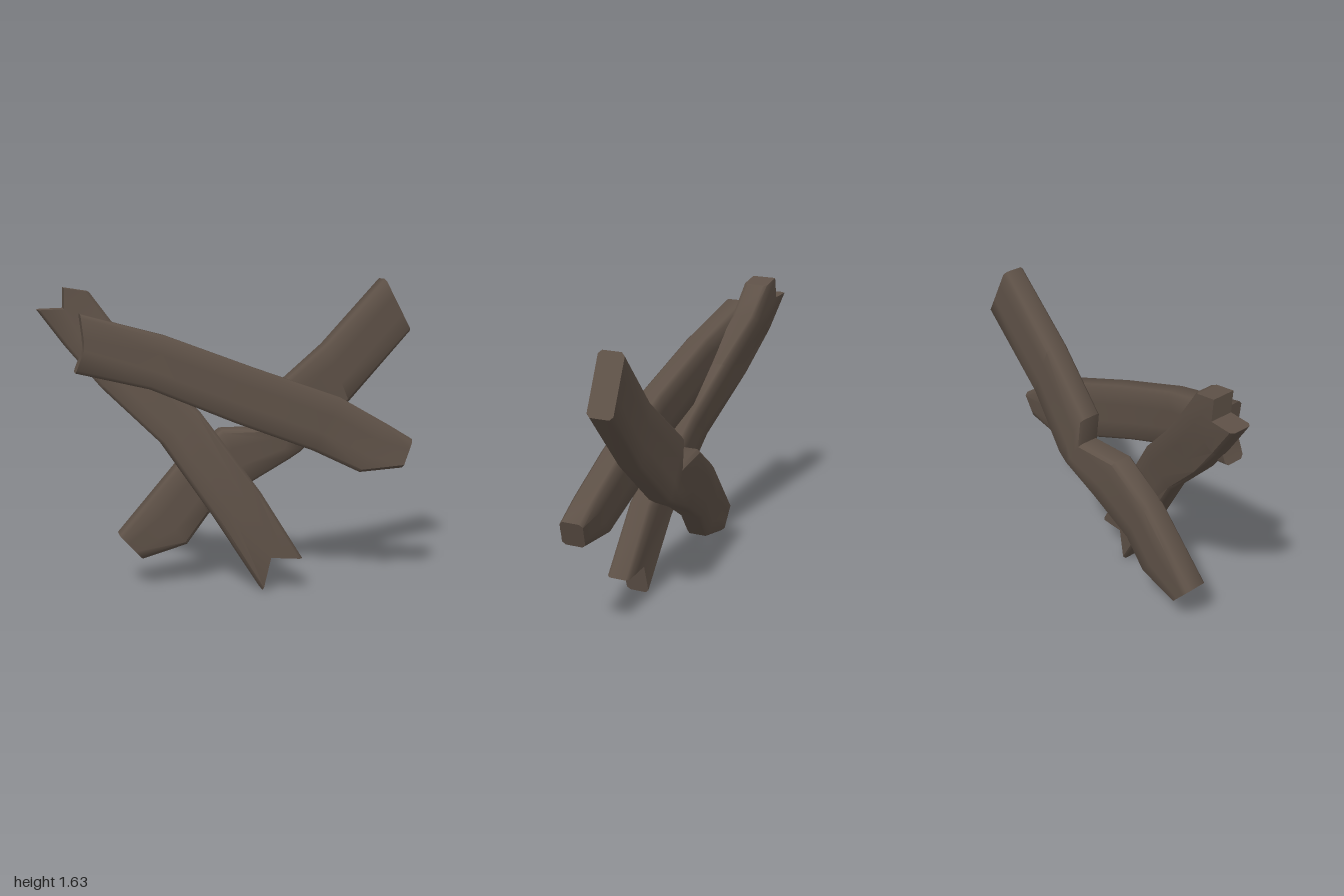
import * as THREE from 'three';
import { toCreasedNormals } from 'three/addons/utils/BufferGeometryUtils.js';

const BEVEL = 0.018;

// Each station: { p: points across the board (2 or 4), z: centre depth at both edges }.
// The first point lies on the left of the direction of travel.
function plankGeometry(stations, thickness) {
  const h = thickness / 2, N = 12;
  const positions = [], index = [];

  for (const { p, z } of stations) {
    const ends = p.map(([x, y]) => new THREE.Vector2(x, y));
    const q = ends.length === 4 ? ends : [0, 1 / 3, 2 / 3, 1].map(t => ends[0].clone().lerp(ends[1], t));
    const inset = (a, b) => a.clone().add(b.clone().sub(a).setLength(BEVEL));
    const row = [q[0], inset(q[0], q[1]), q[1], q[2], inset(q[3], q[2]), q[3]];
    const across = [0, 0, 1 / 3, 2 / 3, 1, 1];
    const put = (i, side) => {
      const depth = i === 0 || i === 5 ? h - BEVEL : h;
      positions.push(row[i].x, row[i].y, THREE.MathUtils.lerp(z[0], z[1], across[i]) + side * depth);
    };
    for (let i = 0; i < 6; i++) put(i, 1);
    for (let i = 5; i >= 0; i--) put(i, -1);
  }

  const quad = (a, b, c, d) => index.push(a, b, c, a, c, d);
  // long faces
  for (let s = 0; s < stations.length - 1; s++) {
    for (let i = 0; i < N; i++) {
      const j = (i + 1) % N, a = s * N, b = a + N;
      quad(a + i, a + j, b + j, b + i);
    }
  }
  // sawn or split ends
  const last = (stations.length - 1) * N;
  for (let i = 0; i < 5; i++) {
    quad(i + 1, i, 11 - i, 10 - i);
    quad(last + i, last + i + 1, last + 10 - i, last + 11 - i);
  }

  const geometry = new THREE.BufferGeometry();
  geometry.setAttribute('position', new THREE.Float32BufferAttribute(positions, 3));
  geometry.setIndex(index);
  return toCreasedNormals(geometry, 0.85);
}

export function createModel() {
  const group = new THREE.Group();
  group.name = 'crossedPlanks';
  const wood = new THREE.MeshStandardMaterial({ color: 0x5e5147 });
  wood.name = 'darkWood';

  const addPlank = (name, thickness, stations) => {
    const mesh = new THREE.Mesh(plankGeometry(stations, thickness), wood);
    mesh.name = name;
    group.add(mesh);
  };

  // Upper board, nearest the front
  addPlank('frontPlank', 0.125, [
    { p: [[-0.79, 1.46], [-0.775, 1.33], [-0.775, 1.27], [-0.82, 1.155]], z: [-0.05, -0.05] },
    { p: [[-0.35, 1.345], [-0.44, 1.07]], z: [0.015, 0.015] },
    { p: [[0.12, 1.17], [0.0, 0.89]], z: [0.09, 0.09] },
    { p: [[0.57, 1.01], [0.42, 0.73]], z: [0.105, 0.1] },
    { p: [[0.83, 0.86], [0.67, 0.61]], z: [0.135, 0.135] },
    { p: [[0.96, 0.78], [0.9, 0.63]], z: [0.145, 0.16] },
  ]);

  // Leaning board with split ends, woven between the other two
  addPlank('splitPlank', 0.13, [
    { p: [[-0.73, 1.57], [-0.86, 1.59], [-0.86, 1.48], [-1, 1.475]], z: [-0.185, -0.215] },
    { p: [[-0.62, 1.42], [-0.86, 1.285]], z: [-0.155, -0.175] },
    { p: [[-0.42, 1.19], [-0.68, 1.07]], z: [-0.06, -0.1] },
    { p: [[-0.18, 0.95], [-0.38, 0.78]], z: [0.03, 0.02] },
    { p: [[0.12, 0.53], [-0.11, 0.38]], z: [0.155, 0.125] },
    { p: [[0.34, 0.17], [0.25, 0.175], [0.17, 0.18], [0.13, 0]], z: [0.195, 0.17] },
  ]);

  // Rising board at the back, with a step in its upper edge
  addPlank('backPlank', 0.135, [
    { p: [[-0.6, 0.28], [-0.48, 0.15]], z: [-0.045, -0.045] },
    { p: [[-0.44, 0.465], [-0.24, 0.22]], z: [-0.05, -0.04] },
    { p: [[-0.28, 0.65], [-0.12, 0.38]], z: [-0.055, -0.045] },
    { p: [[-0.04, 0.83], [0.12, 0.54]], z: [-0.065, -0.065] },
    { p: [[0.22, 0.83], [0.34, 0.66]], z: [-0.07, -0.075] },
    { p: [[0.2, 0.99], [0.4, 0.7]], z: [-0.07, -0.07] },
    { p: [[0.52, 1.28], [0.65, 0.97]], z: [-0.025, -0.025] },
    { p: [[0.85, 1.63], [1, 1.35]], z: [-0.04, -0.04] },
  ]);

  return group;
}
